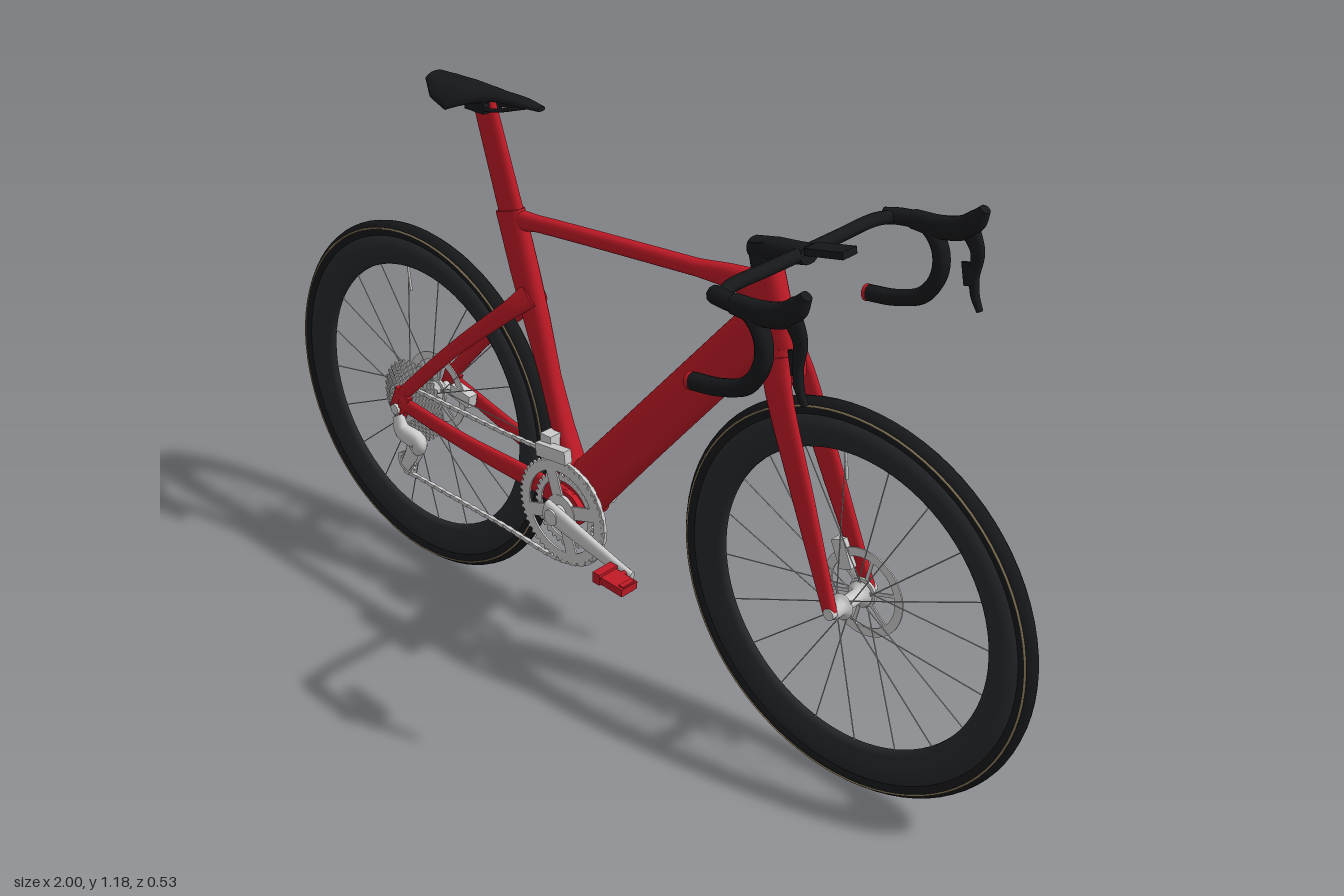
import * as THREE from 'three';
import { mergeGeometries } from 'three/addons/utils/BufferGeometryUtils.js';

const V = (x, y, z = 0) => new THREE.Vector3(x, y, z);
const mat = (color) => new THREE.MeshStandardMaterial({ color });
const red = mat(0xbf1a26), black = mat(0x17181a), carbon = mat(0x26282c), tan = mat(0x8a7a5c), grey = mat(0xcccccc);

const WX = 0.595, WY = 0.41, R = 0.406;   // wheel centres and tyre radius
const BX = -0.11, BY = 0.335;             // crank axis

function mesh(name, geo, material, parent) {
  const m = new THREE.Mesh(geo, material);
  m.name = name;
  parent.add(m);
  return m;
}
const merge = (list) => mergeGeometries(list.map((g) => (g.index ? g.toNonIndexed() : g)));

// Smooth tube of oval section; each station is [x, y, z, half height in plane, half width in z]
function loft(stations, steps = 6, sides = 18, power = 0.8) {
  const path = new THREE.CatmullRomCurve3(stations.map((s) => V(s[0], s[1], s[2])), false, 'centripetal');
  const n = (stations.length - 1) * steps, pos = [], idx = [], Z = V(0, 0, 1);
  const round = (v) => Math.sign(v) * Math.abs(v) ** power;
  const ring = (i) => {
    const k = Math.min(Math.floor(i / steps), stations.length - 2), f = i / steps - k;
    const p = path.getPoint(i / n), t = path.getTangent(i / n);
    const u = V(0, 0, 0).crossVectors(Z, t).normalize(), w = V(0, 0, 0).crossVectors(t, u);
    const size = (c) => THREE.MathUtils.lerp(stations[k][c], stations[k + 1][c], f);
    for (let j = 0; j < sides; j++) {
      const a = (j / sides) * Math.PI * 2;
      const q = p.clone().addScaledVector(u, size(3) * round(Math.cos(a))).addScaledVector(w, size(4) * round(Math.sin(a)));
      pos.push(q.x, q.y, q.z);
    }
    return p;
  };
  for (let i = 0; i <= n; i++) ring(i);
  for (let i = 0; i < n; i++) for (let j = 0; j < sides; j++) {
    const a = i * sides + j, b = i * sides + (j + 1) % sides;
    idx.push(a, b, b + sides, a, b + sides, a + sides);
  }
  for (const end of [0, n]) {
    const base = pos.length / 3, c = ring(end);
    pos.push(c.x, c.y, c.z);
    for (let j = 0; j < sides; j++) {
      const a = base + j, b = base + (j + 1) % sides;
      idx.push(base + sides, ...(end ? [a, b] : [b, a]));
    }
  }
  const g = new THREE.BufferGeometry();
  g.setAttribute('position', new THREE.Float32BufferAttribute(pos, 3));
  g.setIndex(idx);
  g.computeVertexNormals();
  return g;
}
const mirrorZ = (stations, s) => stations.map(([x, y, z, ...r]) => [x, y, z * s, ...r]);

function rod(a, b, r, sides = 6) {
  const d = b.clone().sub(a), g = new THREE.CylinderGeometry(r, r, d.length(), sides);
  g.applyQuaternion(new THREE.Quaternion().setFromUnitVectors(V(0, 1, 0), d.normalize()));
  return g.translate((a.x + b.x) / 2, (a.y + b.y) / 2, (a.z + b.z) / 2);
}
const axle = (x, y, z0, z1, r, sides = 24) => rod(V(x, y, z0), V(x, y, z1), r, sides);
const box = (x, y, z, w, h, d, turn = 0) => new THREE.BoxGeometry(w, h, d).rotateZ(turn).translate(x, y, z);
const tube = (pts, r, n = 40) => new THREE.TubeGeometry(new THREE.CatmullRomCurve3(pts), n, r, 10);
const lathe = (pts, n = 80) => new THREE.LatheGeometry(pts.map((p) => new THREE.Vector2(...p)), n).rotateX(Math.PI / 2);

// Flat ring about z, toothed if wanted, with arms running in to a hub
function toothedRing(x, y, z, rOut, rIn, teeth, depth, arms = 0, armWidth = 0.01, hub = 0.02) {
  const s = new THREE.Shape(), n = teeth ? teeth * 4 : 64;
  for (let i = 0; i < n; i++) {
    const r = rOut - (teeth && i % 4 > 1 ? 0.007 : 0), a = (i / n) * Math.PI * 2;
    s[i ? 'lineTo' : 'moveTo'](r * Math.cos(a), r * Math.sin(a));
  }
  s.holes.push(new THREE.Path().absarc(0, 0, rIn, 0, Math.PI * 2, true));
  const parts = [new THREE.ExtrudeGeometry(s, { depth, bevelEnabled: false, curveSegments: 32 }).translate(0, 0, -depth / 2)];
  for (let i = 0; i < arms; i++) {
    parts.push(new THREE.BoxGeometry(rIn + 0.004, armWidth, depth).translate((rIn + 0.004) / 2, 0, 0).rotateZ((i / arms) * Math.PI * 2 + 0.3));
  }
  if (arms) parts.push(axle(0, 0, -depth, depth, hub));
  return merge(parts).translate(x, y, z);
}

function wheel(name, x) {
  const g = new THREE.Group();
  g.name = name;
  g.position.set(x, WY, 0);
  mesh('tyre', lathe([[0.374, -0.014], [0.383, -0.0175], [0.39, -0.0185], [0.398, -0.0145], [0.404, -0.007], [R, 0],
    [0.404, 0.007], [0.398, 0.0145], [0.39, 0.0185], [0.383, 0.0175], [0.374, 0.014]]), black, g);
  mesh('rim', lathe([[0.308, -0.004], [0.318, -0.01], [0.345, -0.0145], [0.376, -0.0145], [0.376, 0.0145],
    [0.345, 0.0145], [0.318, 0.01], [0.308, 0.004], [0.308, -0.004]]), carbon, g);
  for (const s of [-1, 1]) mesh('sidewallBand', new THREE.TorusGeometry(0.392, 0.0022, 6, 80).translate(0, 0, s * 0.0178), tan, g);
  const spokes = [];
  for (let i = 0; i < 20; i++) {
    const a = (i / 20) * Math.PI * 2 + 0.1, b = a + (i % 4 < 2 ? 0.5 : -0.5), z = i % 2 ? 0.028 : -0.028;
    spokes.push(rod(V(0.022 * Math.cos(b), 0.022 * Math.sin(b), z), V(0.312 * Math.cos(a), 0.312 * Math.sin(a), 0), 0.0013, 5));
  }
  mesh('spokes', merge(spokes), grey, g);
  mesh('valve', rod(V(-0.025, 0.25), V(-0.032, 0.312), 0.003), grey, g);
  mesh('hub', lathe([[0.008, -0.055], [0.016, -0.055], [0.016, -0.034], [0.026, -0.032], [0.026, -0.026], [0.015, -0.02],
    [0.015, 0.02], [0.026, 0.026], [0.026, 0.032], [0.016, 0.034], [0.016, 0.055], [0.008, 0.055]], 24), grey, g);
  mesh('brakeRotor', toothedRing(0, 0, -0.038, 0.092, 0.074, 0, 0.003, 6, 0.007, 0.03), grey, g);
  return g;
}

function pedal(name, x, y, s, material, parent) {
  mesh(name, merge([axle(x, y, s * 0.075, s * 0.14, 0.008, 12), box(x + 0.005, y, s * 0.119, 0.075, 0.017, 0.045, -0.08),
    box(x - 0.025, y + 0.004, s * 0.119, 0.02, 0.024, 0.052), box(x + 0.035, y - 0.002, s * 0.119, 0.012, 0.022, 0.034)]), material, parent);
}

export function createModel() {
  const bike = new THREE.Group();
  bike.name = 'roadBicycle';
  bike.add(wheel('rearWheel', -WX), wheel('frontWheel', WX));

  // Frame
  const frame = new THREE.Group();
  frame.name = 'frame';
  bike.add(frame);
  mesh('seatPost', loft([[-0.368, 1.155, 0, 0.03, 0.011], [-0.285, 0.9, 0, 0.034, 0.014]]), red, frame);
  mesh('seatTube', loft([[-0.3, 0.94, 0, 0.038, 0.018], [-0.262, 0.82, 0, 0.036, 0.02], [-0.23, 0.72, 0, 0.032, 0.02],
    [-0.193, 0.6, 0, 0.024, 0.019], [-0.16, 0.5, 0, 0.024, 0.022], [-0.115, 0.36, 0, 0.035, 0.03]]), red, frame);
  mesh('topTube', loft([[-0.29, 0.922, 0, 0.024, 0.015], [-0.22, 0.931, 0, 0.017, 0.014], [0.2, 0.966, 0, 0.017, 0.015],
    [0.3, 0.974, 0, 0.025, 0.018], [0.365, 0.97, 0, 0.036, 0.02]]), red, frame);
  mesh('downTube', loft([[0.375, 0.92, 0, 0.046, 0.021], [0.3, 0.83, 0, 0.05, 0.023], [0.05, 0.54, 0, 0.054, 0.025],
    [-0.1, 0.365, 0, 0.058, 0.032]]), red, frame);
  mesh('headTube', loft([[0.368, 1.015, 0, 0.032, 0.023], [0.385, 0.95, 0, 0.036, 0.023], [0.412, 0.865, 0, 0.036, 0.025]]), red, frame);
  mesh('bottomBracket', axle(BX, BY, -0.045, 0.045, 0.042, 32), red, frame);
  for (const s of [1, -1]) {
    mesh('seatStay', loft(mirrorZ([[-0.235, 0.775, 0.012, 0.026, 0.012], [-0.28, 0.732, 0.032, 0.02, 0.009],
      [-0.43, 0.6, 0.052, 0.016, 0.008], [-0.578, 0.45, 0.074, 0.016, 0.008]], s)), red, frame);
    mesh('chainStay', loft(mirrorZ([[-0.1, 0.345, 0.03, 0.032, 0.012], [-0.2, 0.362, 0.036, 0.026, 0.01],
      [-0.4, 0.392, 0.06, 0.02, 0.009], [-0.585, 0.428, 0.076, 0.018, 0.008]], s)), red, frame);
    mesh('dropout', box(-0.585, 0.428, s * 0.075, 0.045, 0.06, 0.012, -0.4), red, frame);
  }

  // Fork
  const fork = new THREE.Group();
  fork.name = 'fork';
  bike.add(fork);
  mesh('forkCrown', loft([[0.408, 0.875, 0, 0.036, 0.026], [0.42, 0.84, 0, 0.034, 0.036], [0.428, 0.815, 0, 0.026, 0.034]]), red, fork);
  for (const s of [1, -1]) mesh('forkBlade', loft(mirrorZ([[0.412, 0.86, 0.022, 0.034, 0.014], [0.432, 0.805, 0.036, 0.031, 0.011],
    [0.51, 0.61, 0.047, 0.025, 0.01], [0.592, 0.41, 0.058, 0.016, 0.009]], s)), red, fork);

  // Axles and brake calipers
  mesh('frontAxle', axle(WX, WY, -0.068, 0.068, 0.012, 16), grey, bike);
  mesh('rearAxle', axle(-WX, WY, -0.088, 0.088, 0.012, 16), grey, bike);
  mesh('frontCaliper', box(0.545, 0.475, -0.042, 0.03, 0.06, 0.024, 0.4), grey, bike);
  mesh('rearCaliper', box(-0.515, 0.425, -0.045, 0.06, 0.03, 0.024, -0.2), grey, bike);

  // Saddle, its sides bent down
  const saddle = loft([[-0.51, 1.176, 0, 0.006, 0.026], [-0.47, 1.172, 0, 0.011, 0.052], [-0.415, 1.171, 0, 0.013, 0.063],
    [-0.365, 1.172, 0, 0.012, 0.04], [-0.32, 1.174, 0, 0.01, 0.022], [-0.25, 1.176, 0, 0.008, 0.018], [-0.205, 1.174, 0, 0.005, 0.01]]);
  const sp = saddle.attributes.position;
  for (let i = 0; i < sp.count; i++) sp.setY(i, sp.getY(i) - 8 * sp.getZ(i) ** 2);
  saddle.computeVertexNormals();
  mesh('saddle', saddle, black, bike);
  for (const s of [1, -1]) mesh('saddleRail', tube([V(-0.475, 1.163, s * 0.022), V(-0.42, 1.145, s * 0.02),
    V(-0.33, 1.146, s * 0.02), V(-0.235, 1.172, s * 0.008)], 0.004), black, bike);
  mesh('saddleClamp', box(-0.37, 1.146, 0, 0.055, 0.022, 0.05), black, bike);

  // Stem and handlebar
  const cockpit = new THREE.Group();
  cockpit.name = 'cockpit';
  bike.add(cockpit);
  mesh('headsetSpacer', loft([[0.352, 1.066, 0, 0.027, 0.022], [0.368, 1.01, 0, 0.031, 0.023]]), black, cockpit);
  mesh('stem', loft([[0.335, 1.05, 0, 0.018, 0.022], [0.39, 1.058, 0, 0.022, 0.023], [0.46, 1.07, 0, 0.018, 0.024]]), black, cockpit);
  mesh('computerMount', box(0.505, 1.09, 0, 0.085, 0.014, 0.04, 0.2), black, cockpit);
  for (const s of [1, -1]) {
    const z = s * 0.25;
    mesh('barTop', tube([V(0.448, 1.07, 0), V(0.447, 1.07, s * 0.1), V(0.45, 1.072, s * 0.2), V(0.462, 1.07, s * 0.24)], 0.013), black, cockpit);
    mesh('barDrop', tube([V(0.445, 1.068, s * 0.236), V(0.48, 1.072, s * 0.247), V(0.53, 1.07, z), V(0.562, 1.035, z), V(0.566, 0.985, z),
      V(0.535, 0.933, z), V(0.475, 0.908, z), V(0.412, 0.898, z)], 0.0165, 60), black, cockpit);
    mesh('barEndPlug', rod(V(0.406, 0.897, z), V(0.414, 0.8985, z), 0.0165, 16), red, cockpit);
    mesh('hood', loft([[0.5, 1.073, z, 0.018, 0.016], [0.565, 1.075, z, 0.022, 0.017], [0.61, 1.088, z, 0.023, 0.016],
      [0.635, 1.11, z, 0.02, 0.014], [0.65, 1.134, z, 0.01, 0.01]]), black, cockpit);
    mesh('brakeLever', loft([[0.622, 1.09, z, 0.02, 0.011], [0.642, 1.05, z, 0.014, 0.009], [0.64, 1.0, z, 0.009, 0.009],
      [0.645, 0.965, z, 0.008, 0.008], [0.658, 0.938, z, 0.006, 0.006]]), black, cockpit);
    mesh('shiftPaddle', box(0.628, 1.005, z * 0.98, 0.018, 0.045, 0.006, 0.2), black, cockpit);
  }

  // Cranks, chainrings and pedals
  const drive = new THREE.Group();
  drive.name = 'drivetrain';
  bike.add(drive);
  mesh('largeChainring', toothedRing(BX, BY, 0.056, 0.122, 0.094, 50, 0.004, 4, 0.03, 0.04), grey, drive);
  mesh('smallChainring', toothedRing(BX, BY, 0.046, 0.086, 0.068, 34, 0.004), grey, drive);
  mesh('crankSpindle', axle(BX, BY, -0.09, 0.09, 0.018), grey, drive);
  mesh('rightCrank', loft([[BX - 0.025, BY + 0.006, 0.075, 0.024, 0.011], [BX + 0.03, BY - 0.006, 0.078, 0.023, 0.011],
    [0.075, 0.294, 0.082, 0.014, 0.008], [0.115, 0.286, 0.082, 0.012, 0.007]]), grey, drive);
  mesh('leftCrank', loft([[BX + 0.025, BY - 0.006, -0.078, 0.022, 0.011], [BX - 0.03, BY + 0.006, -0.08, 0.021, 0.011],
    [-0.27, 0.361, -0.082, 0.014, 0.008], [-0.325, 0.37, -0.082, 0.012, 0.007]]), grey, drive);
  pedal('rightPedal', 0.1, 0.29, 1, red, drive);
  pedal('leftPedal', -0.31, 0.364, -1, grey, drive);
  mesh('frontDerailleur', merge([box(-0.135, 0.465, 0.052, 0.085, 0.03, 0.02, 0.1), box(-0.16, 0.475, 0.035, 0.03, 0.04, 0.03)]), grey, drive);

  // Cassette, rear derailleur and chain
  const cogs = [];
  for (let i = 0; i < 9; i++) cogs.push(toothedRing(-WX, WY, 0.03 + i * 0.004, 0.096 - i * 0.0065, 0.03, 34 - i * 2, 0.002, 5, 0.012, 0.026));
  mesh('cassette', merge(cogs), grey, drive);
  const pulleys = [[-0.572, 0.325], [-0.6, 0.262]];
  for (const [x, y] of pulleys) mesh('pulley', toothedRing(x, y, 0.052, 0.026, 0.014, 11, 0.005, 5, 0.006, 0.009), grey, drive);
  for (const z of [0.044, 0.06]) mesh('pulleyCage', loft([[-0.568, 0.338, z, 0.016, 0.002], [-0.575, 0.3, z, 0.02, 0.002],
    [-0.604, 0.25, z, 0.014, 0.002]], 4, 12), grey, drive);
  mesh('derailleurBody', loft([[-0.59, 0.395, 0.082, 0.016, 0.009], [-0.572, 0.365, 0.086, 0.022, 0.014],
    [-0.53, 0.352, 0.08, 0.022, 0.016], [-0.545, 0.325, 0.07, 0.018, 0.012], [-0.572, 0.322, 0.064, 0.014, 0.006]]), grey, drive);
  const loop = new THREE.CatmullRomCurve3([[-0.11, 0.456], [-0.3, 0.457], [-0.56, 0.458], [-0.6, 0.458], [-0.636, 0.435], [-0.638, 0.39],
    [-0.6, 0.365], [-0.555, 0.345], [-0.55, 0.315], [-0.585, 0.292], [-0.624, 0.27], [-0.61, 0.238], [-0.57, 0.236], [-0.3, 0.225],
    [-0.11, 0.215], [-0.025, 0.25], [0.01, 0.335], [-0.025, 0.42]].map(([x, y]) => V(x, y, 0.053)), true, 'centripetal');
  const links = [], count = 124;
  for (let i = 0; i < count; i++) {
    const p = loop.getPointAt(i / count), t = loop.getTangentAt(i / count);
    links.push(box(p.x, p.y, p.z, 0.0155, 0.008, i % 2 ? 0.009 : 0.006, Math.atan2(t.y, t.x)));
  }
  mesh('chain', merge(links), grey, drive);
  return bike;
}
